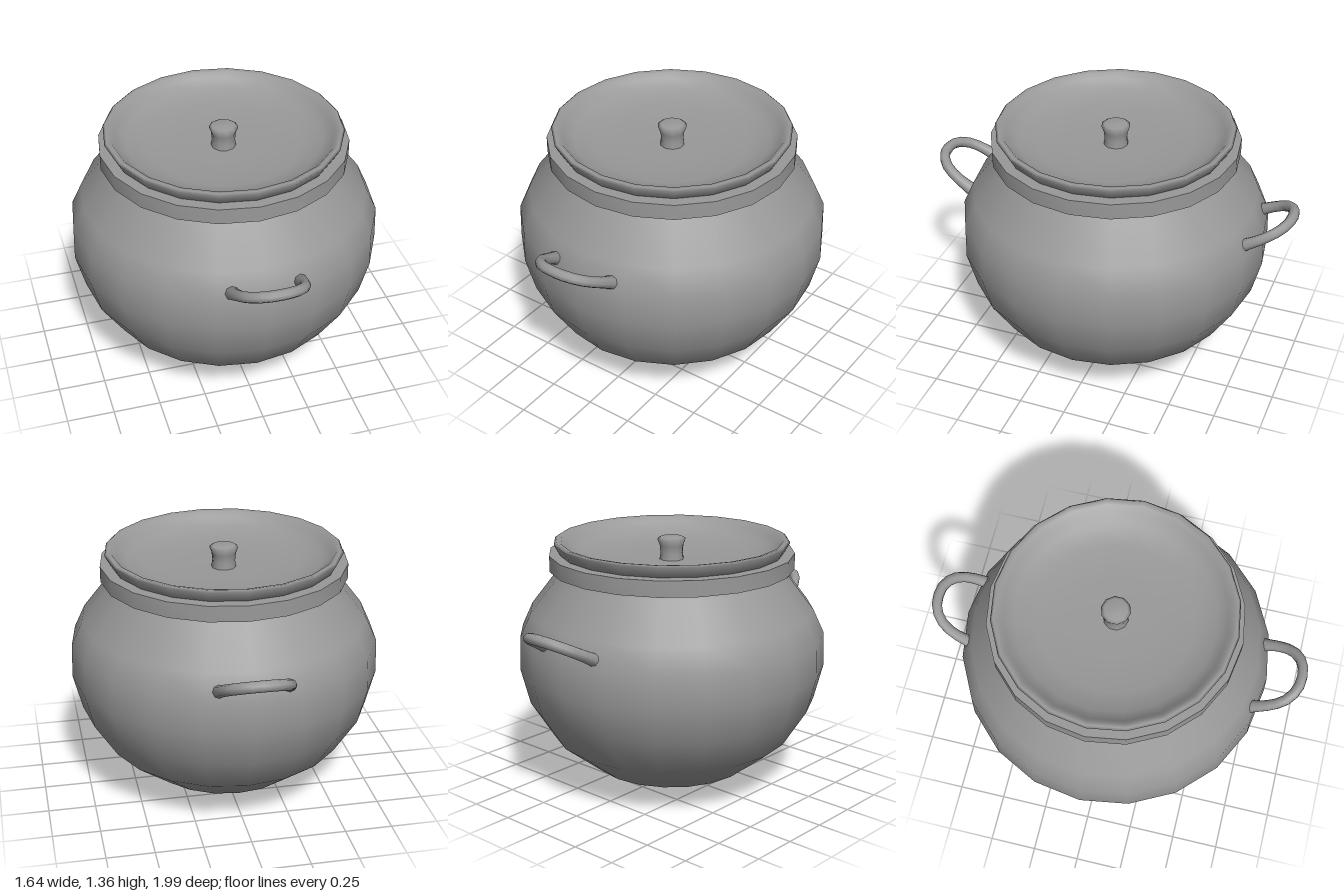
import * as THREE from 'three';
import { toCreasedNormals } from 'three/addons/utils/BufferGeometryUtils.js';

const SIDES = 20;

// Revolved part from [radius, height] pairs, running up the outside
function lathe(name, profile, material, sides = SIDES, crease = 0) {
  let geometry = new THREE.LatheGeometry(profile.map(([r, y]) => new THREE.Vector2(r, y)), sides);
  if (crease) geometry = toCreasedNormals(geometry, crease);
  const mesh = new THREE.Mesh(geometry, material);
  mesh.name = name;
  return mesh;
}

// Bent loop handle with flared feet
function handleGeometry() {
  const half = [[0.175, 0.74], [0.172, 0.79], [0.162, 0.85], [0.135, 0.91], [0.075, 0.957]];
  const points = [...half, [0, 0.97], ...half.map(([x, z]) => [-x, z]).reverse()]
    .map(([x, z]) => new THREE.Vector3(x, 0.88 + (z - 0.75) * 0.55, z));
  const curve = new THREE.CatmullRomCurve3(points);
  const steps = 14, radial = 8;
  const geometry = new THREE.TubeGeometry(curve, steps, 0.028, radial);
  const pos = geometry.attributes.position;
  const v = new THREE.Vector3();
  for (let i = 0; i <= steps; i++) {
    const center = curve.getPointAt(i / steps);
    const flare = 1 + 0.35 * Math.pow(Math.abs(i / steps - 0.5) * 2, 6);
    for (let j = 0; j <= radial; j++) {
      const k = i * (radial + 1) + j;
      v.fromBufferAttribute(pos, k).sub(center).multiplyScalar(flare).add(center);
      pos.setXYZ(k, v.x, v.y, v.z);
    }
  }
  return geometry;
}

export function createModel() {
  const group = new THREE.Group();
  group.name = 'cookingPot';
  const iron = new THREE.MeshStandardMaterial({ color: 0x999999, side: THREE.DoubleSide });
  iron.name = 'grey iron';

  const pot = new THREE.Group();
  pot.name = 'pot';
  pot.position.z = -0.012;
  group.add(pot);

  // Round belly
  pot.add(lathe('body', [
    [0, 0], [0.13, 0.005], [0.425, 0.105], [0.645, 0.28], [0.77, 0.48],
    [0.818, 0.67], [0.813, 0.85], [0.755, 0.975], [0.605, 1.17], [0.595, 1.2],
  ], iron));

  // Sharp-edged collar around the mouth
  pot.add(lathe('collar', [
    [0.59, 1.19], [0.648, 1.195], [0.648, 1.278], [0.585, 1.278], [0.575, 1.22],
  ], iron, SIDES, 0.7));

  // Dished lid with a raised rim
  pot.add(lathe('lid', [
    [0.55, 1.265], [0.592, 1.28], [0.622, 1.335], [0.61, 1.345], [0.585, 1.34],
    [0.565, 1.315], [0.51, 1.275], [0.4, 1.245], [0.2, 1.235], [0, 1.235],
  ], iron));

  // Knob, slightly wider at the top
  pot.add(lathe('lidKnob', [
    [0.066, 1.225], [0.06, 1.27], [0.064, 1.31], [0.076, 1.342], [0.06, 1.352], [0, 1.355],
  ], iron, 10));

  // Handles at front and back
  const geometry = handleGeometry();
  for (const [name, turn] of [['frontHandle', 0], ['backHandle', Math.PI]]) {
    const handle = new THREE.Mesh(geometry, iron);
    handle.name = name;
    handle.rotation.y = turn;
    group.add(handle);
  }
  return group;
}
